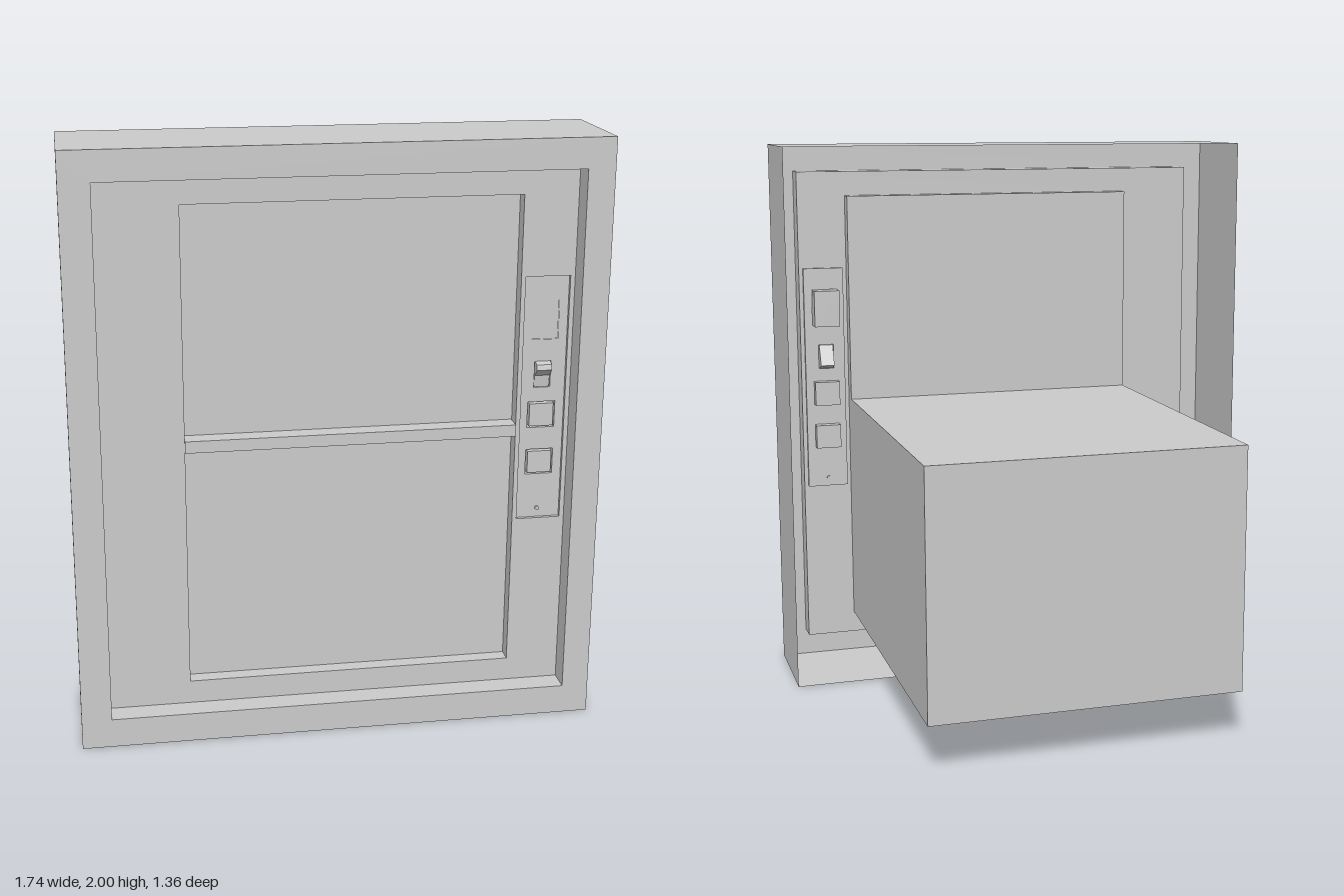
import * as THREE from 'three';

const grey = new THREE.MeshStandardMaterial({ color: 0xcccccc, flatShading: true, side: THREE.DoubleSide });

// Rectangles are [x0, x1, y0, y1]
const outer = [-0.87, 0.87, 0, 2];
const opening = [-0.77, 0.78, 0.1, 1.9];
const hatch = [-0.5, 0.6, 0.18, 1.81];
const cabin = [-0.5, 0.6, 0.18, 1.04];
const plate = [0.615, 0.765, 0.7, 1.54];

// Depths of the stepped sheet-metal shell
const Z = { back: -0.68, rim: 0.3, front: 0.68, panel: 0.6, plate: 0.588, pane: 0.55 };

function outline(PathType, [x0, x1, y0, y1]) {
  return new PathType([[x0, y0], [x1, y0], [x1, y1], [x0, y1]].map(([x, y]) => new THREE.Vector2(x, y)));
}

export function createModel() {
  const model = new THREE.Group();

  function add(parent, name, geometry) {
    const mesh = new THREE.Mesh(geometry, grey);
    mesh.name = name;
    parent.add(mesh);
    return mesh;
  }

  // Flat sheet facing the front, with optional rectangular holes
  function sheet(parent, name, rect, z, holes = []) {
    const shape = outline(THREE.Shape, rect);
    shape.holes = holes.map((h) => outline(THREE.Path, h));
    add(parent, name, new THREE.ShapeGeometry(shape)).position.z = z;
  }

  // Four thin walls around a rectangle, open at both ends
  function sleeve(parent, name, [x0, x1, y0, y1], z0, z1) {
    const group = new THREE.Group();
    group.name = name;
    parent.add(group);
    for (const x of [x0, x1]) {
      const wall = add(group, 'sideWall', new THREE.PlaneGeometry(z1 - z0, y1 - y0));
      wall.rotation.y = x === x0 ? -Math.PI / 2 : Math.PI / 2;
      wall.position.set(x, (y0 + y1) / 2, (z0 + z1) / 2);
    }
    for (const y of [y0, y1]) {
      const wall = add(group, 'levelWall', new THREE.PlaneGeometry(x1 - x0, z1 - z0));
      wall.rotation.x = y === y0 ? Math.PI / 2 : -Math.PI / 2;
      wall.position.set((x0 + x1) / 2, y, (z0 + z1) / 2);
    }
  }

  function block(parent, name, [x0, x1, y0, y1], z0, z1) {
    add(parent, name, new THREE.BoxGeometry(x1 - x0, y1 - y0, z1 - z0))
      .position.set((x0 + x1) / 2, (y0 + y1) / 2, (z0 + z1) / 2);
  }

  // Outer frame, open at the back
  sleeve(model, 'frameWalls', outer, Z.rim, Z.front);
  sheet(model, 'frameFace', outer, Z.front, [opening]);
  sleeve(model, 'openingWalls', opening, Z.panel, Z.front);

  // Recessed panel, hatch and its middle bar
  sheet(model, 'panel', opening, Z.panel, [hatch, plate]);
  sleeve(model, 'hatchWalls', hatch, Z.pane, Z.panel);
  sheet(model, 'hatchPane', hatch, Z.pane);
  block(model, 'hatchBar', [-0.5, 0.598, 1.0, 1.04], Z.pane, 0.612);

  // Cabin box behind the lower half of the hatch
  sleeve(model, 'cabinWalls', cabin, Z.back, Z.pane);
  sheet(model, 'cabinBack', cabin, Z.back);

  // Control strip
  const controls = new THREE.Group();
  controls.name = 'controls';
  model.add(controls);
  const screen = [0.64, 0.735, 1.325, 1.46];
  const slot = [0.66, 0.715, 1.16, 1.25];
  const buttons = [[0.642, 0.735, 1.02, 1.11], [0.642, 0.735, 0.855, 0.943]];
  sleeve(controls, 'plateWalls', plate, Z.plate, Z.panel);
  sheet(controls, 'plate', plate, Z.plate, [screen, slot, ...buttons]);
  block(controls, 'screen', screen, 0.53, Z.plate - 0.004);

  // Push buttons sit in shallow sockets with a narrow gap around them
  for (const b of buttons) {
    const gap = 0.006;
    sleeve(controls, 'buttonSocket', b, 0.555, Z.plate);
    sheet(controls, 'buttonSocketBack', b, 0.555);
    block(controls, 'button', [b[0] + gap, b[1] - gap, b[2] + gap, b[3] - gap], 0.556, 0.592);
  }

  // Rocker switch: wedge profile in (z, y), extruded across the slot
  sleeve(controls, 'switchSlot', slot, 0.575, Z.plate);
  const profile = new THREE.Shape([
    [0.545, 1.175], [0.582, 1.16], [0.586, 1.2], [0.612, 1.225], [0.608, 1.243], [0.58, 1.25],
  ].map(([z, y]) => new THREE.Vector2(-z, y)));
  const rocker = add(controls, 'switchRocker',
    new THREE.ExtrudeGeometry(profile, { depth: 0.051, bevelEnabled: false }));
  rocker.rotation.y = Math.PI / 2;
  rocker.position.x = 0.662;

  // Small indicator lamp
  const lamp = add(controls, 'lamp', new THREE.CylinderGeometry(0.007, 0.007, 0.012, 16));
  lamp.rotation.x = Math.PI / 2;
  lamp.position.set(0.688, 0.732, Z.plate);

  return model;
}
